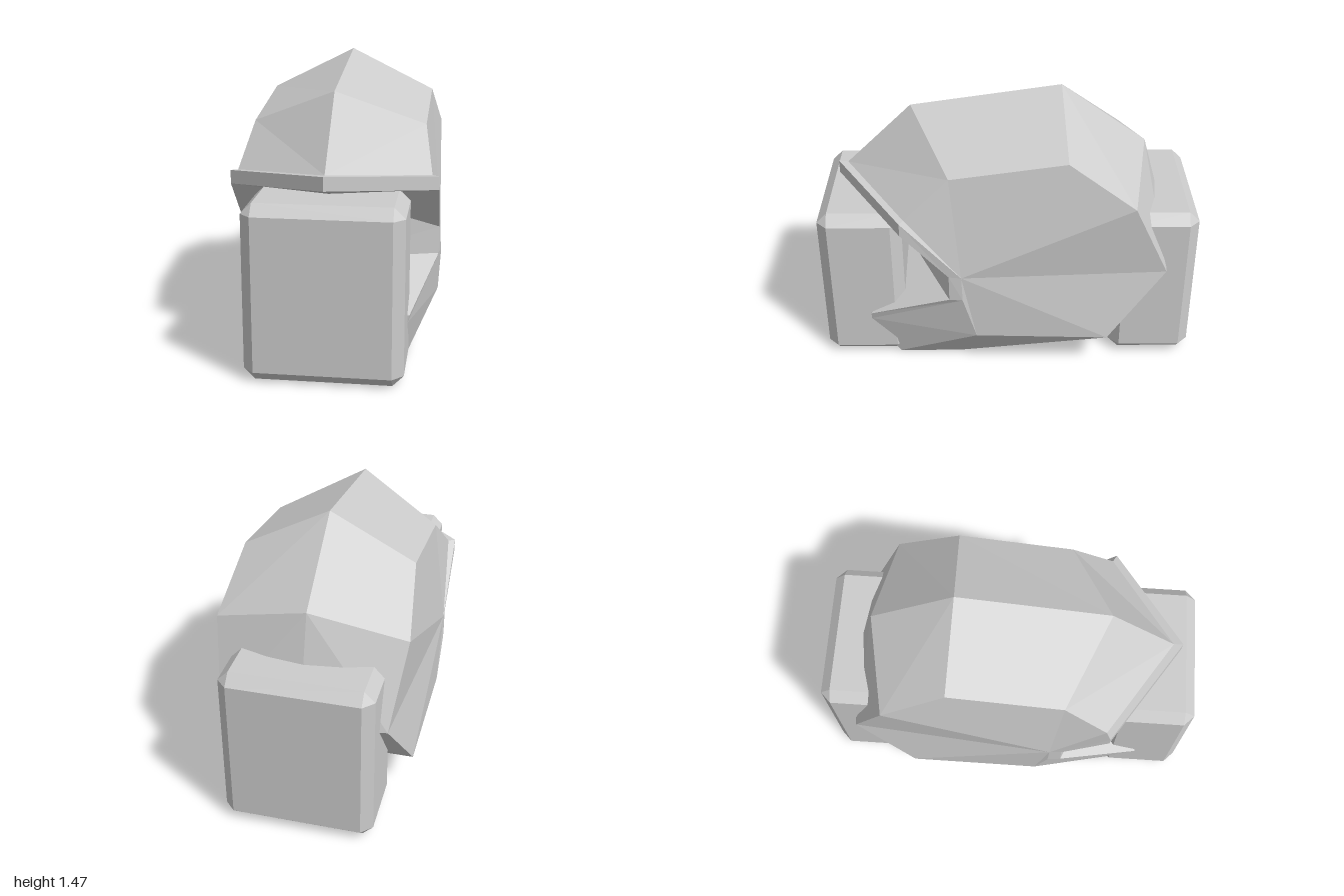
import * as THREE from 'three';
import { ConvexGeometry } from 'three/addons/geometries/ConvexGeometry.js';

const material = new THREE.MeshStandardMaterial({ color: 0xcccccc, flatShading: true, side: THREE.DoubleSide });

// Shell corners, x >= 0 half: [x, y, z]
const P = {
  // centre ridge, front to back
  D0: [0, 1.01, 0.86], R1: [0, 1.35, 0.51], R2: [0, 1.465, -0.28], R3: [0, 1.14, -0.73],
  R4: [0, 0.58, -0.89], R5: [0, 0.2, -0.53],
  // outline of the side panel
  S0: [0.49, 0.945, 0.53], S1: [0.445, 1.155, 0.3], S2: [0.445, 1.24, -0.3], S3: [0.49, 1.0, -0.645],
  S4: [0.43, 0.58, -0.835], S5: [0.51, 0.2, -0.53], S6: [0.517, 0.225, 0.17],
  O1: [0.525, 0.61, 0.245], O2: [0.53, 0.47, 0.24],
  // front rim of the opening and the recessed face
  O1f: [0.522, 0.615, 0.31], O2f: [0.522, 0.47, 0.31],
  C1: [0, 0.83, 0.56], C2: [0, 0.5, 0.55],
  // brow lip
  L0t: [0, 1.015, 0.91], L0b: [0, 0.945, 0.91], L1t: [0.525, 0.945, 0.55], L1b: [0.525, 0.875, 0.55],
  // jaw points and belly
  Tt: [0.4, 0.285, 0.745], Tb: [0.39, 0.245, 0.745], Tc: [0, 0.285, 0.745], Tbc: [0, 0.245, 0.745],
  B: [0.37, 0, 0.27], Bc: [0, 0, 0.27], F: [0.37, 0, 0.6], Fc: [0, 0, 0.6],
};

// Fans each polygon into triangles and mirrors it across x = 0
function mirroredPanels(name, polygons) {
  const position = [];
  for (const polygon of polygons) {
    const points = polygon.split(' ').map((key) => P[key]);
    for (let i = 1; i < points.length - 1; i++) {
      const tri = [points[0], points[i], points[i + 1]];
      for (const p of tri) position.push(...p);
      for (const p of tri.reverse()) position.push(-p[0], p[1], p[2]);
    }
  }
  const geometry = new THREE.BufferGeometry();
  geometry.setAttribute('position', new THREE.Float32BufferAttribute(position, 3));
  geometry.computeVertexNormals();
  const mesh = new THREE.Mesh(geometry, material);
  mesh.name = name;
  return mesh;
}

// Box with every edge cut at 45 degrees
function chamferedBox(name, w, h, d, c) {
  const points = [];
  for (const sx of [-1, 1]) for (const sy of [-1, 1]) for (const sz of [-1, 1]) {
    for (const axis of [0, 1, 2]) {
      const half = [w / 2, h / 2, d / 2].map((v, i) => (i === axis ? v : v - c));
      points.push(new THREE.Vector3(sx * half[0], sy * half[1], sz * half[2]));
    }
  }
  const mesh = new THREE.Mesh(new ConvexGeometry(points), material);
  mesh.name = name;
  return mesh;
}

export function createModel() {
  const model = new THREE.Group();
  model.name = 'helmetWithBlocks';

  // Faceted shell
  model.add(
    mirroredPanels('dome', ['D0 S0 S1 R1', 'R1 S1 S2 R2', 'R2 S2 S3 R3', 'R3 S3 S4 R4', 'R4 S4 S5 R5']),
    mirroredPanels('sidePanels', ['O1 O2 S6 S5 S4 S3 S2 S1 S0']),
    mirroredPanels('belly', ['R5 S5 B Bc', 'Bc B F Fc', 'S6 B S5', 'S6 Tb F B', 'Fc F Tb Tbc']),
    mirroredPanels('jaw', ['O2 O2f Tt Tb S6', 'C2 Tc Tt O2f', 'Tbc Tb Tt Tc']),
    mirroredPanels('browLip', ['L0b L1b L1t L0t', 'L0t L1t S0 D0']),
    mirroredPanels('openingRim', ['L1t L1b O1f O1 S0', 'O1f O2f O2 O1']),
    mirroredPanels('faceRecess', ['C2 O2f O1f C1', 'C1 O1f L1b L0b']),
  );

  // Front and back blocks
  for (const [name, z] of [['frontBlock', 0.78], ['backBlock', -0.78]]) {
    const block = chamferedBox(name, 0.78, 0.89, 0.44, 0.055);
    block.position.set(0, 0.445, z);
    model.add(block);
  }

  // Bar joining the shell to the back block
  const bar = new THREE.Mesh(new THREE.BoxGeometry(0.44, 0.3, 0.6), material);
  bar.name = 'connectingBar';
  bar.position.set(0, 0.265, -0.4);
  model.add(bar);

  return model;
}
